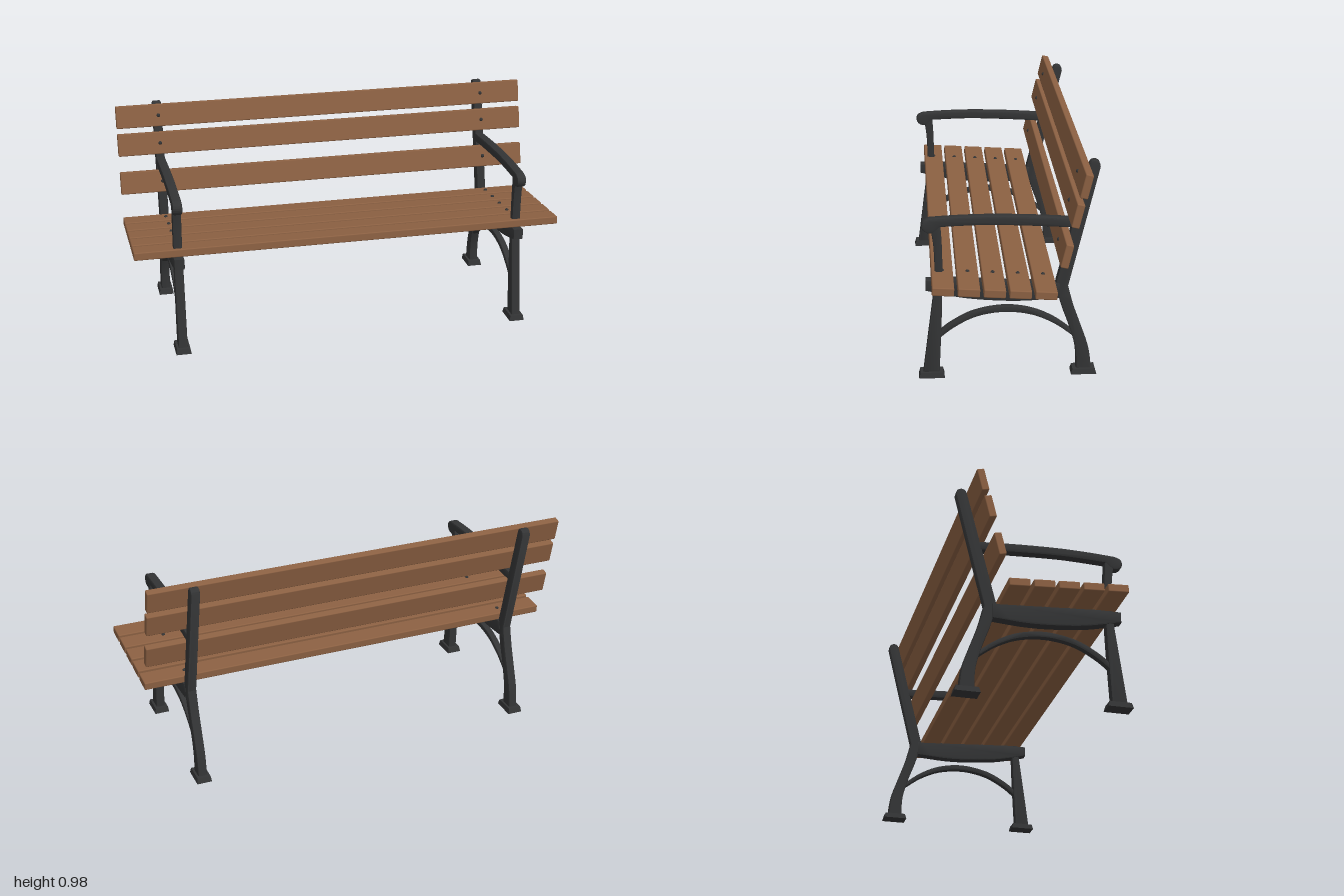
import * as THREE from 'three';
import { toCreasedNormals } from 'three/addons/utils/BufferGeometryUtils.js';
import { RoundedBoxGeometry } from 'three/addons/geometries/RoundedBoxGeometry.js';

const wood = new THREE.MeshStandardMaterial({ color: 0x8b6042 });
wood.name = 'brown wood';
const iron = new THREE.MeshStandardMaterial({ color: 0x333435 });
iron.name = 'dark cast iron';

// Side outline in (z, y) made of runs: each run is a smooth curve, runs join at corners
function outline(...runs) {
  const shape = new THREE.Shape();
  runs.forEach((run, i) => {
    const pts = run.map(([z, y]) => new THREE.Vector2(z, y));
    if (i === 0) shape.moveTo(pts[0].x, pts[0].y);
    else shape.lineTo(pts[0].x, pts[0].y);
    if (pts.length > 2) shape.splineThru(pts.slice(1));
    else if (pts.length === 2) shape.lineTo(pts[1].x, pts[1].y);
  });
  return shape;
}

// Casting of a given width in x with chamfered edges
function casting(name, shape, width, bevel = 0.007) {
  const depth = width - 2 * bevel;
  const geo = new THREE.ExtrudeGeometry(shape, {
    depth, curveSegments: 18, bevelEnabled: true, bevelSegments: 2,
    bevelSize: bevel, bevelThickness: bevel, bevelOffset: -bevel,
  });
  geo.translate(0, 0, -depth / 2);
  geo.rotateY(-Math.PI / 2);
  const mesh = new THREE.Mesh(toCreasedNormals(geo, 0.6), iron);
  mesh.name = name;
  return mesh;
}

// Foot: a low block narrowing slightly to the top
function foot(name, z) {
  const geo = new THREE.BoxGeometry(0.07, 0.025, 0.112);
  const p = geo.attributes.position;
  for (let i = 0; i < p.count; i++) {
    if (p.getY(i) > 0) p.setXYZ(i, p.getX(i) * 0.88, p.getY(i), p.getZ(i) * 0.88);
  }
  geo.computeVertexNormals();
  const mesh = new THREE.Mesh(geo, iron);
  mesh.name = name;
  mesh.position.set(0, 0.0125, z);
  return mesh;
}

function sideFrame(name) {
  const g = new THREE.Group();
  g.name = name;
  g.add(
    foot('frontFoot', 0.333),
    foot('backFoot', -0.333),
    casting('frontLeg', outline(
      [[0.37, 0.02], [0.316, 0.43]],
      [[0.282, 0.43], [0.288, 0.25], [0.299, 0.02]],
    ), 0.042),
    // rear leg sweeping up into the raked back post with a round top
    casting('backPost', outline(
      [[-0.3, 0.02], [-0.295, 0.12], [-0.268, 0.22], [-0.236, 0.31], [-0.218, 0.37]],
      [[-0.207, 0.435], [-0.338, 0.957]],
      [[-0.338, 0.957], [-0.347, 0.976], [-0.365, 0.982], [-0.383, 0.973], [-0.389, 0.952]],
      [[-0.389, 0.952], [-0.26, 0.415]],
      [[-0.26, 0.415], [-0.285, 0.32], [-0.318, 0.225], [-0.353, 0.12], [-0.367, 0.02]],
    ), 0.042),
    casting('seatRail', outline(
      [[0.354, 0.458], [0.354, 0.408]],
      [[0.354, 0.408], [0.2, 0.372], [0.05, 0.355], [-0.08, 0.351], [-0.225, 0.36]],
      [[-0.225, 0.43], [-0.2, 0.43]],
      [[0.25, 0.458]],
    ), 0.048),
    casting('archBrace', outline(
      [[0.31, 0.2], [0.25, 0.25], [0.15, 0.302], [0.02, 0.325], [-0.1, 0.309], [-0.2, 0.264], [-0.285, 0.2]],
      [[-0.285, 0.176], [-0.2, 0.238], [-0.1, 0.282], [0.02, 0.297], [0.14, 0.277], [0.24, 0.225], [0.31, 0.168]],
    ), 0.032, 0.006),
    casting('armPost', outline(
      [[0.331, 0.7], [0.318, 0.6], [0.313, 0.43]],
      [[0.281, 0.43], [0.282, 0.6], [0.288, 0.71]],
    ), 0.04),
    casting('armrest', outline(
      [[-0.285, 0.725], [-0.1, 0.737], [0.08, 0.743], [0.22, 0.741], [0.335, 0.735]],
      [[0.335, 0.735], [0.361, 0.723], [0.369, 0.702], [0.36, 0.68], [0.338, 0.669], [0.315, 0.674], [0.29, 0.697]],
      [[0.29, 0.697], [0.1, 0.702], [-0.1, 0.694], [-0.285, 0.682]],
    ), 0.044, 0.009),
  );
  return g;
}

// Slat with a bolt head over each frame; the bolt sits on the named face axis
function slat(name, h, d, y, z, tilt, boltAxis) {
  const g = new THREE.Group();
  g.name = name;
  const board = new THREE.Mesh(new RoundedBoxGeometry(2, h, d, 2, 0.005), wood);
  board.name = 'board';
  g.add(board);
  for (const x of [-0.8, 0.8]) {
    const bolt = new THREE.Mesh(new THREE.SphereGeometry(0.009, 12, 8), iron);
    bolt.name = 'bolt';
    bolt.position.x = x;
    bolt.position[boltAxis] = (boltAxis === 'y' ? h : d) / 2 - 0.001;
    g.add(bolt);
  }
  g.position.set(0, y, z);
  g.rotation.x = tilt;
  return g;
}

export function createModel() {
  const bench = new THREE.Group();
  bench.name = 'parkBench';

  for (const [name, x] of [['leftFrame', 0.8], ['rightFrame', -0.8]]) {
    const frame = sideFrame(name);
    frame.position.x = x;
    bench.add(frame);
  }

  // five seat slats falling slightly to the rear
  for (let i = 0; i < 5; i++) {
    bench.add(slat(`seatSlat${i + 1}`, 0.037, 0.093, 0.476 - i * 0.007, 0.284 - i * 0.1085, -0.065, 'y'));
  }

  // three back slats leaning with the posts
  [[0.622, -0.234], [0.799, -0.277], [0.927, -0.31]].forEach(([y, z], i) => {
    bench.add(slat(`backSlat${i + 1}`, 0.106, 0.034, y, z, -0.235, 'z'));
  });

  return bench;
}
